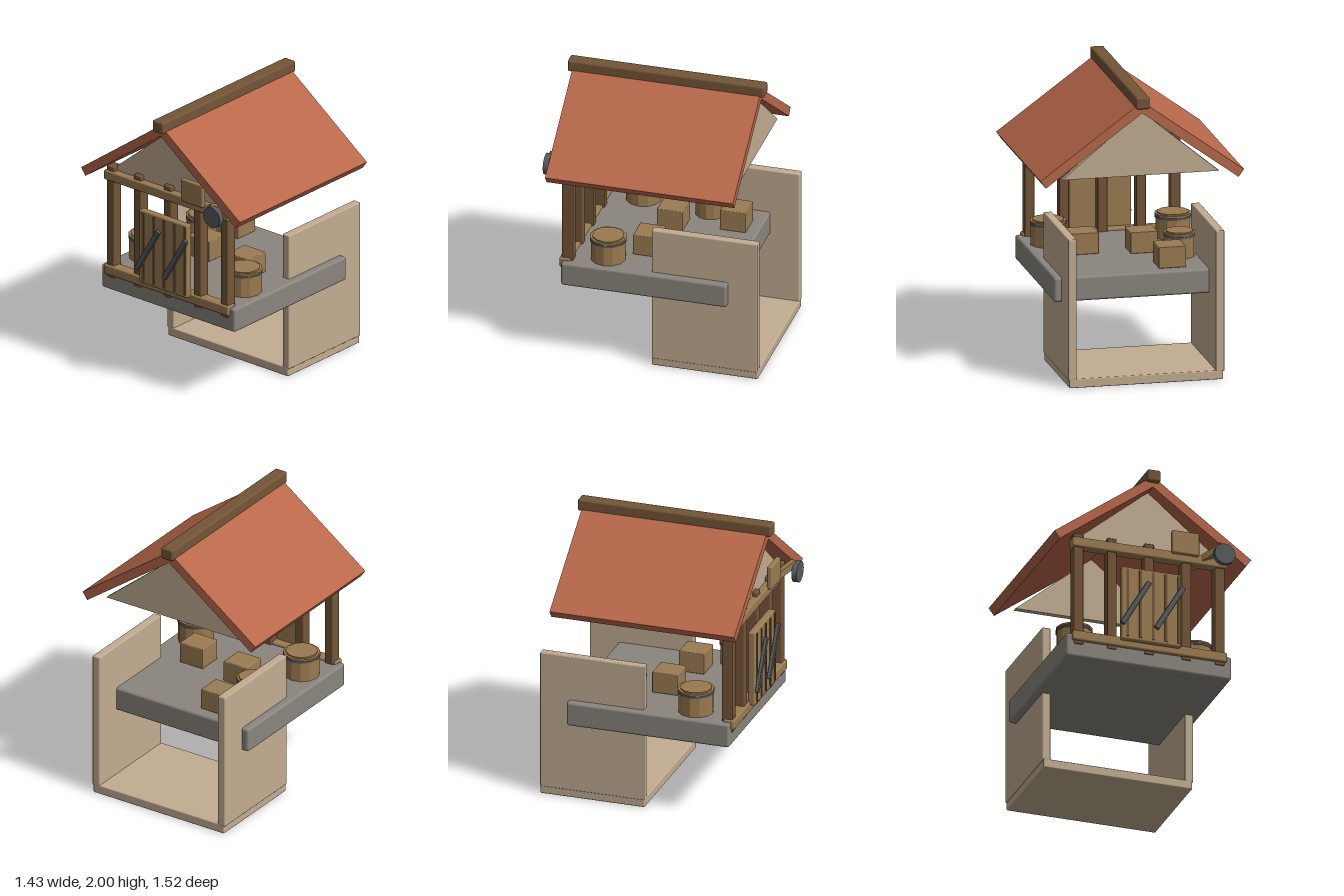
import * as THREE from 'three';
import { RoundedBoxGeometry } from 'three/addons/geometries/RoundedBoxGeometry.js';

const mat = (name, color, flatShading = false) => {
  const m = new THREE.MeshStandardMaterial({ color, flatShading });
  m.name = name;
  return m;
};

export function createModel() {
  const root = new THREE.Group();
  root.name = 'marketHouse';

  const plaster = mat('plaster', 0xc2ad92);
  const stone = mat('stone', 0x8a867e);
  const tile = mat('roofTile', 0xb8684a);
  const darkWood = mat('darkWood', 0x735537);
  const lightWood = mat('lightWood', 0x9b7c52);
  const barrelWood = mat('barrelWood', 0x9b7a4f, true);
  const iron = mat('iron', 0x575c60);

  const add = (name, geo, material, parent = root) => {
    const m = new THREE.Mesh(geo, material);
    m.name = name;
    parent.add(m);
    return m;
  };
  // Box given by its limits on each axis, with an optional small bevel
  const block = (name, material, [x0, x1], [y0, y1], [z0, z1], bevel = 0.008, parent = root) => {
    const [w, h, d] = [x1 - x0, y1 - y0, z1 - z0];
    const geo = bevel ? new RoundedBoxGeometry(w, h, d, 2, bevel) : new THREE.BoxGeometry(w, h, d);
    const m = add(name, geo, material, parent);
    m.position.set((x0 + x1) / 2, (y0 + y1) / 2, (z0 + z1) / 2);
    return m;
  };
  // Flat outline in x and y, extruded from z0 to z1
  const prism = (name, material, points, z0, z1) => {
    const shape = new THREE.Shape(points.map(([x, y]) => new THREE.Vector2(x, y)));
    const geo = new THREE.ExtrudeGeometry(shape, { depth: z1 - z0, bevelEnabled: false });
    add(name, geo, material).position.z = z0;
  };

  // Lower room: floor and two side walls, open at front and back
  block('floor', plaster, [-0.54, 0.54], [0, 0.065], [-0.757, -0.003]);
  for (const s of [-1, 1]) {
    block('sideWall', plaster, [s * 0.518 - 0.03, s * 0.518 + 0.03], [0.055, 1.053], [-0.757, -0.005]);
  }

  // Stone platform
  block('platform', stone, [-0.6, 0.6], [0.557, 0.73], [-0.55, 0.627], 0.018);

  // Roof: one chevron, ridge beam and two gables
  prism('roof', tile, [[-0.714, 1.443], [-0.676, 1.39], [0, 1.882], [0.676, 1.39], [0.714, 1.443], [0, 1.962]], -0.63, 0.705);
  block('ridgeBeam', darkWood, [-0.048, 0.048], [1.915, 2], [-0.66, 0.738], 0.014);
  for (const z of [-0.585, 0.56]) {
    prism('gable', plaster, [[-0.55, 1.43], [0.55, 1.43], [0, 1.886]], z, z + 0.04);
  }

  // Front frame: posts between two rails
  for (const x of [-0.512, -0.27, 0, 0.27, 0.512]) {
    block('post', darkWood, [x - 0.034, x + 0.034], [0.652, 1.485], [0.555, 0.635]);
  }
  block('bottomRail', lightWood, [-0.56, 0.56], [0.675, 0.747], [0.57, 0.65], 0.012);
  block('topRail', lightWood, [-0.56, 0.56], [1.38, 1.452], [0.57, 0.65], 0.012);

  // Gate panel with dark joints and slanted iron straps
  const gate = new THREE.Group();
  gate.name = 'gate';
  root.add(gate);
  block('gatePanel', lightWood, [-0.217, 0.217], [0.72, 1.265], [0.63, 0.682], 0.012, gate);
  for (const x of [-0.176, -0.083, 0.01, 0.103, 0.196]) {
    block('gateJoint', darkWood, [x - 0.009, x + 0.009], [0.742, 1.246], [0.68, 0.688], 0, gate);
  }
  for (const x of [-0.122, 0.125]) {
    const strap = block('gateStrap', iron, [x - 0.018, x + 0.018], [0.798, 1.187], [0.688, 0.712], 0.004, gate);
    strap.rotation.z = -0.53;
  }

  // Hanging sign board
  block('signBoard', lightWood, [0.153, 0.35], [1.432, 1.6], [0.64, 0.675], 0.01);

  // Slanted arm carrying an iron wheel
  const from = new THREE.Vector3(0.32, 1.385, 0.57);
  const to = new THREE.Vector3(0.5, 1.505, 0.725);
  const arm = add('wheelArm', new THREE.BoxGeometry(0.045, 0.045, from.distanceTo(to)), lightWood);
  arm.position.copy(from).lerp(to, 0.5);
  arm.lookAt(to);
  const wheel = add('wheel', new THREE.CylinderGeometry(0.075, 0.075, 0.038, 20), iron);
  wheel.rotation.x = Math.PI / 2;
  wheel.position.set(0.505, 1.436, 0.741);

  // Barrels with an iron hoop and a lid
  const barrel = (x, z, r) => {
    const g = new THREE.Group();
    g.name = 'barrel';
    g.position.set(x, 0.73, z);
    root.add(g);
    const ring = (name, material, radius, y0, y1) => {
      const geo = new THREE.CylinderGeometry(radius, radius, y1 - y0, 12);
      add(name, geo, material, g).position.y = (y0 + y1) / 2;
    };
    ring('barrelBody', barrelWood, r * 0.96, 0, 0.168);
    ring('barrelHoop', iron, r, 0.142, 0.156);
    ring('barrelRim', barrelWood, r, 0.16, 0.172);
    ring('barrelLid', barrelWood, r * 0.86, 0.168, 0.181);
  };
  barrel(0.435, 0.335, 0.128);
  barrel(-0.44, 0.335, 0.128);
  barrel(-0.37, -0.16, 0.11);

  // Crates on the platform
  for (const [x, z] of [[0.25, 0.095], [-0.15, 0.04], [-0.25, -0.38]]) {
    block('crate', lightWood, [x - 0.095, x + 0.095], [0.73, 0.88], [z - 0.092, z + 0.092], 0.006);
  }
  return root;
}
